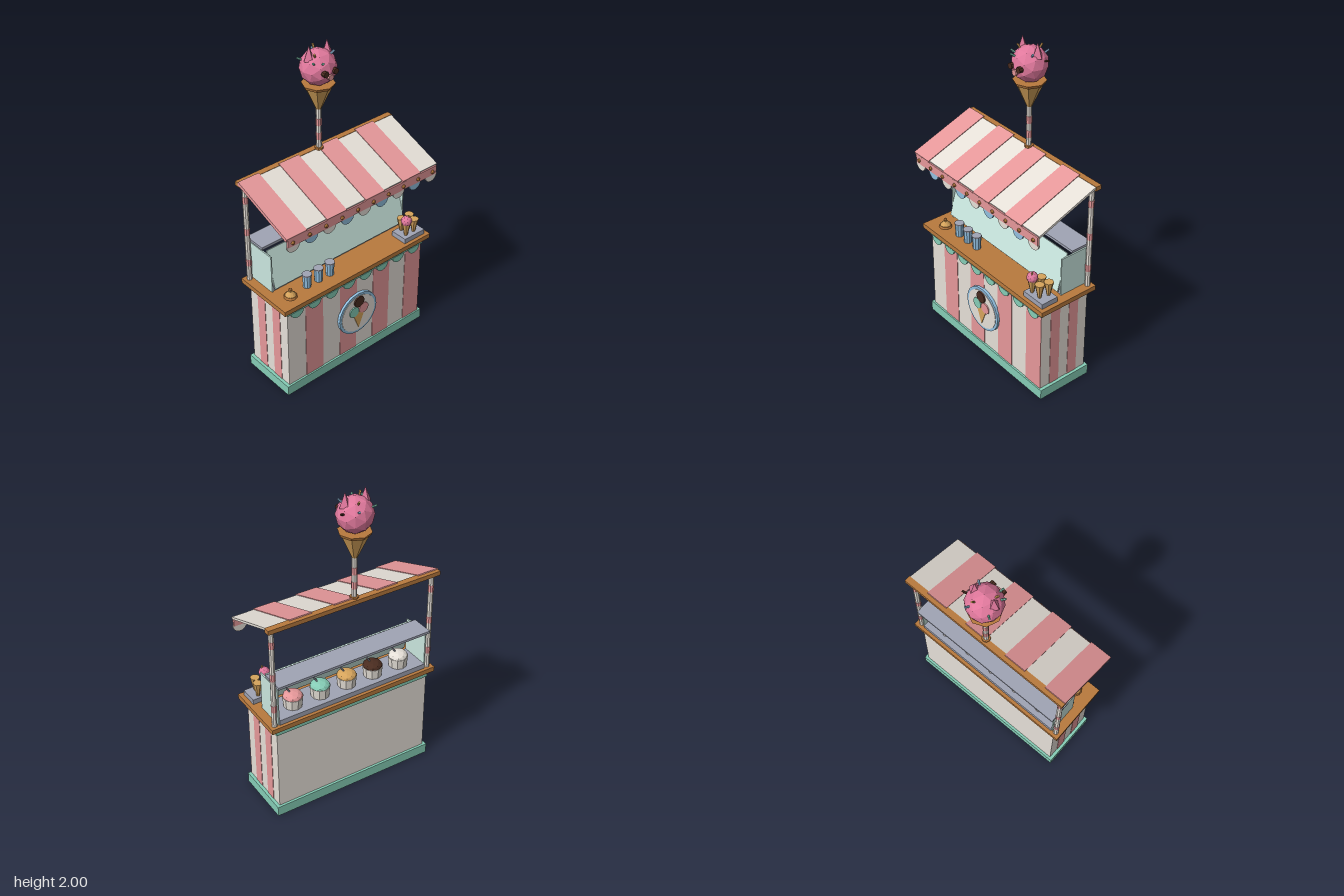
import * as THREE from 'three';

const COLORS = {
  cream: 0xe6e0d8, rose: 0xe6989a, berry: 0xe0789c, mint: 0x86cdb6, wood: 0xb97a3e,
  waffle: 0xd6a45c, chocolate: 0x4a2c20, skyBlue: 0x92c0e0, paleGlass: 0xcbe8e0, steel: 0xa0a4b4,
};

export function createModel() {
  const root = new THREE.Group();
  root.name = 'iceCreamStand';
  const M = {};
  for (const [name, color] of Object.entries(COLORS)) {
    M[name] = new THREE.MeshStandardMaterial({ color });
    M[name].name = name;
  }

  // Helpers: every part is faceted
  function add(name, geo, mat, x, y, z, parent = root) {
    const g = geo.index ? geo.toNonIndexed() : geo;
    g.computeVertexNormals();
    const m = new THREE.Mesh(g, M[mat]);
    m.name = name;
    m.position.set(x, y, z);
    parent.add(m);
    return m;
  }
  // Box given by its limits
  const box = (name, mat, x0, x1, y0, y1, z0, z1) => add(name,
    new THREE.BoxGeometry(x1 - x0, y1 - y0, z1 - z0), mat, (x0 + x1) / 2, (y0 + y1) / 2, (z0 + z1) / 2);
  // Upright cylinder standing on y
  const cyl = (name, mat, rTop, rBottom, h, sides, x, y, z) => add(name,
    new THREE.CylinderGeometry(rTop, rBottom, h, sides), mat, x, y + h / 2, z);
  const ball = (name, mat, r, x, y, z, detail = 1) =>
    add(name, new THREE.IcosahedronGeometry(r, detail), mat, x, y, z);
  const disc = (name, mat, r, depth, sides, x, y, z) => add(name,
    new THREE.CylinderGeometry(r, r, depth, sides).rotateX(Math.PI / 2), mat, x, y, z);
  function scallop(name, mat, r, x, y, z) {
    const s = new THREE.Shape();
    s.absarc(0, 0, r, Math.PI, Math.PI * 2, false);
    s.closePath();
    return add(name, new THREE.ExtrudeGeometry(s, { depth: 0.01, bevelEnabled: false, curveSegments: 7 }), mat, x, y, z);
  }

  // Counter body with stripes
  box('plinth', 'mint', -0.54, 0.54, 0, 0.065, -0.18, 0.187);
  box('body', 'cream', -0.52, 0.52, 0.065, 0.61, -0.165, 0.175);
  for (let i = 1; i < 8; i += 2) {
    const x = -0.52 + i * 0.13;
    box('frontStripe', 'rose', x, x + 0.13, 0.065, 0.61, 0.174, 0.178);
  }
  for (const s of [-1, 1]) for (const z of [0.039, -0.097])
    box('sideStripe', 'rose', s * 0.5205 - 0.002, s * 0.5205 + 0.002, 0.065, 0.61, z, z + 0.068);
  box('counterTrim', 'mint', -0.525, 0.525, 0.6, 0.638, -0.172, 0.185);
  for (let i = 0; i < 8; i++) scallop('counterScallop', 'mint', 0.045, -0.455 + i * 0.13, 0.605, 0.177);
  box('countertop', 'wood', -0.562, 0.562, 0.637, 0.668, -0.19, 0.21);

  // Round front sign
  disc('signRim', 'skyBlue', 0.147, 0.018, 20, 0, 0.34, 0.184);
  disc('signFace', 'cream', 0.13, 0.006, 20, 0, 0.34, 0.193);
  const cone = new THREE.Shape([[-0.047, 0.352], [0, 0.232], [0.047, 0.352]].map(p => new THREE.Vector2(...p)));
  add('signCone', new THREE.ExtrudeGeometry(cone, { depth: 0.005, bevelEnabled: false }), 'waffle', 0, 0, 0.195);
  disc('signScoop', 'mint', 0.036, 0.008, 14, -0.037, 0.368, 0.199);
  disc('signScoop', 'rose', 0.036, 0.008, 14, 0.037, 0.368, 0.199);
  disc('signScoop', 'chocolate', 0.038, 0.009, 14, 0, 0.433, 0.201);

  // Striped poles
  function pole(name, x, y0, y1, bands) {
    cyl(name, 'cream', 0.016, 0.016, y1 - y0, 8, x, y0, -0.157);
    for (const y of bands) cyl('poleBand', 'rose', 0.0175, 0.0175, 0.045, 8, x, y, -0.157);
  }
  for (const x of [-0.528, 0.528]) pole('canopyPost', x, 0.668, 1.325, [0.77, 0.985, 1.2]);
  pole('signPole', 0, 1.33, 1.6, [1.4, 1.49]);
  cyl('signPoleFoot', 'wood', 0.026, 0.026, 0.014, 8, 0, 1.337, -0.157);

  // Canopy
  box('canopyBeam', 'wood', -0.562, 0.562, 1.315, 1.342, -0.193, -0.155);
  const canopy = new THREE.Group();
  canopy.name = 'canopy';
  canopy.position.set(0, 1.26, 0.036);
  canopy.rotation.x = 0.362;
  root.add(canopy);
  for (let i = 0; i < 8; i++) {
    const rose = i % 2 === 0;
    add('canopyStripe', new THREE.BoxGeometry(0.14, rose ? 0.022 : 0.014, rose ? 0.44 : 0.424),
      rose ? 'rose' : 'cream', -0.492 + i * 0.14, 0, 0, canopy);
  }
  box('valance', 'rose', -0.55, 0.55, 1.128, 1.182, 0.228, 0.242);
  for (let i = 0; i < 9; i++)
    scallop('valanceScallop', i % 2 ? 'skyBlue' : 'cream', 0.044, (i - 4) * 0.128, 1.13, 0.229);
  for (let i = 0; i < 10; i++) ball('valanceStud', 'wood', 0.012, -0.518 + i * 0.115, 1.152, 0.243);

  // Glass display case, open at the back
  box('caseTray', 'steel', -0.5, 0.5, 0.668, 0.7, -0.17, 0.02);
  box('caseRoof', 'steel', -0.512, 0.512, 0.93, 0.946, -0.19, -0.045);
  for (const x of [-0.503, 0.503])
    box('caseSide', 'paleGlass', x - 0.004, x + 0.004, 0.668, 0.917, -0.165, 0.025);
  const pane = add('caseFront', new THREE.BoxGeometry(0.998, 0.245, 0.008), 'paleGlass', 0, 0.815, 0.009);
  pane.rotation.x = -0.27;
  // Ice cream tubs with serving spoons
  ['cream', 'chocolate', 'waffle', 'mint', 'berry'].forEach((flavour, i) => {
    const x = (i - 2) * 0.182;
    cyl('tub', 'cream', 0.062, 0.055, 0.065, 10, x, 0.7, -0.085);
    const heap = ball('tubIceCream', i === 4 ? 'rose' : flavour, 0.06, x, 0.768, -0.085);
    heap.scale.y = 0.55;
    const spoon = cyl('spoon', 'steel', 0.005, 0.005, 0.09, 6, x + 0.03, 0.775, -0.07);
    spoon.rotation.set(0.3, 0, -0.5);
  });

  // Things on the counter: bell, cups, cone holder
  cyl('bellBase', 'wood', 0.036, 0.04, 0.014, 10, -0.45, 0.668, 0.12);
  cyl('bellDome', 'waffle', 0.012, 0.033, 0.026, 10, -0.45, 0.682, 0.12);
  ball('bellKnob', 'wood', 0.011, -0.45, 0.717, 0.12);
  for (const x of [-0.321, -0.236, -0.151]) {
    cyl('cup', 'skyBlue', 0.028, 0.024, 0.082, 10, x, 0.668, 0.11);
    cyl('cupRim', 'steel', 0.03, 0.03, 0.008, 10, x, 0.75, 0.11);
  }
  box('coneHolder', 'steel', 0.375, 0.535, 0.668, 0.7, 0.075, 0.187);
  for (const [x, z] of [[0.412, 0.155], [0.475, 0.155], [0.425, 0.1], [0.488, 0.1]])
    cyl('waffleCone', 'waffle', 0.029, 0.009, 0.093, 8, x, 0.697, z);
  ball('coneScoop', 'berry', 0.034, 0.412, 0.803, 0.155);
  cyl('coneSprinkle', 'waffle', 0.005, 0.005, 0.02, 5, 0.42, 0.825, 0.165);

  // Giant cone with a scoop creature on the pole
  const Z = -0.157;
  cyl('giantCone', 'waffle', 0.085, 0.013, 0.16, 8, 0, 1.59, Z);
  cyl('giantConeRim', 'wood', 0.096, 0.088, 0.018, 8, 0, 1.742, Z);
  ball('giantScoop', 'berry', 0.106, 0, 1.857, Z);
  for (const s of [-1, 1]) {
    const ear = add('ear', new THREE.ConeGeometry(0.035, 0.085, 4), 'berry', s * 0.063, 1.9575, Z);
    ear.rotation.y = 0;
    disc('eye', 'chocolate', 0.018, 0.03, 8, s * 0.034, 1.86, -0.06);
  }
  disc('snout', 'rose', 0.018, 0.02, 8, 0, 1.833, -0.055);
  // Sprinkles point outward from the scoop
  const sprinkles = [
    ['mint', -0.7, 0.55, 0.5], ['skyBlue', 0.6, 0.7, 0.35], ['waffle', 0.15, 0.75, -0.5],
    ['mint', -0.75, 0.45, -0.55], ['chocolate', 0.9, 0.35, -0.3], ['waffle', -0.45, 0.8, 0.3],
    ['skyBlue', 0.3, 0.5, -0.8], ['mint', -0.35, 0.55, 0.8],
  ];
  for (const [mat, x, y, z] of sprinkles) {
    const d = new THREE.Vector3(x, y, z).normalize();
    const s = add('sprinkle', new THREE.CylinderGeometry(0.006, 0.006, 0.034, 6), mat,
      d.x * 0.11, 1.857 + d.y * 0.11, Z + d.z * 0.11);
    s.quaternion.setFromUnitVectors(new THREE.Vector3(0, 1, 0), d);
  }
  return root;
}
